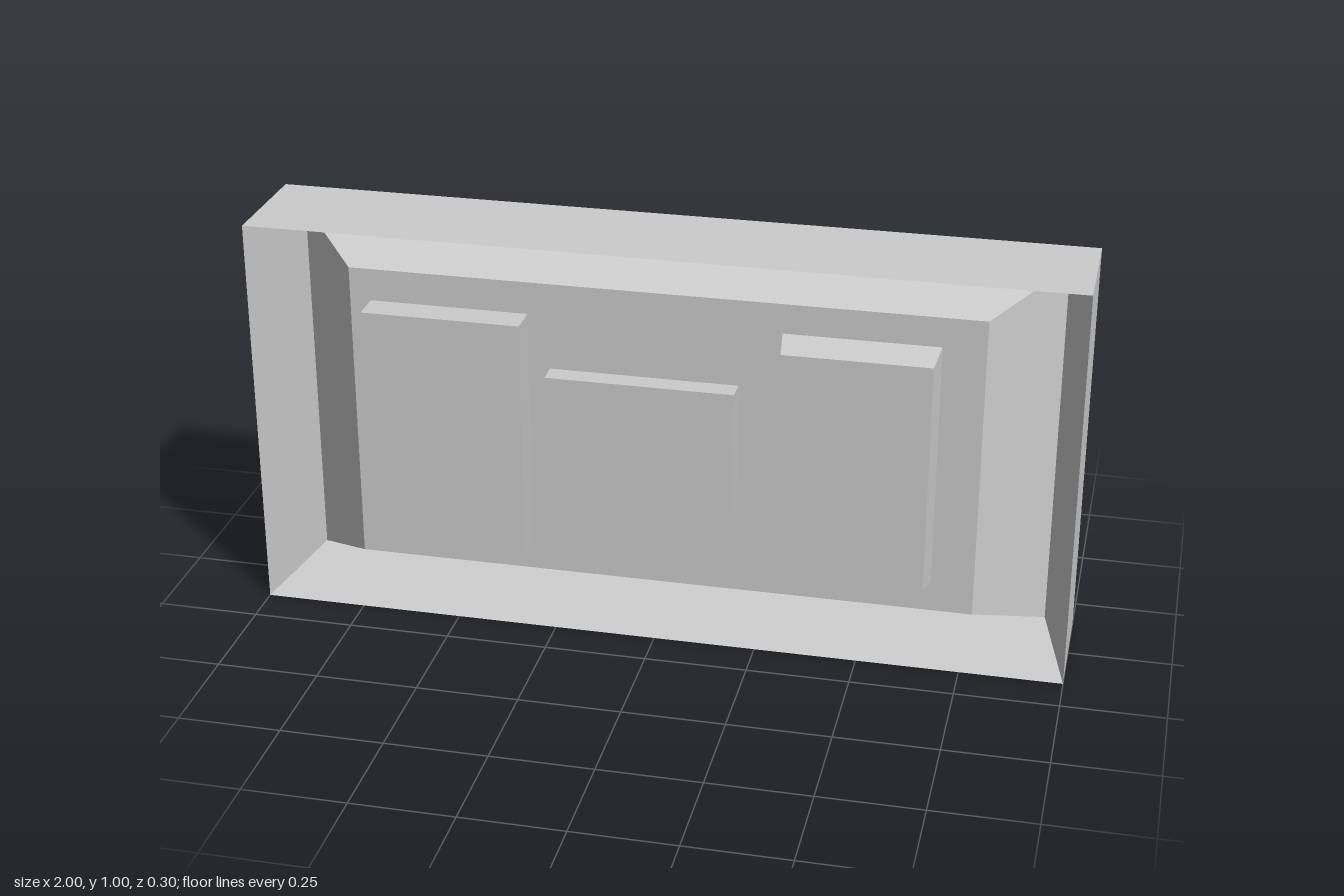
import * as THREE from 'three';

const material = new THREE.MeshStandardMaterial({ color: 0xcccccc, flatShading: true });
const FRONT = 0.148, PANEL = 0.07, GROOVE = -0.1;

// Skins a run of rectangles [x0, x1, y0, y1, z], each joined to the next, with both ends capped.
function rectLoft(name, rings) {
  const corners = rings.map(([x0, x1, y0, y1, z]) => [[x0, y0, z], [x1, y0, z], [x1, y1, z], [x0, y1, z]]);
  const pos = [];
  const quad = (a, b, c, d) => pos.push(...a, ...b, ...c, ...a, ...c, ...d);
  for (let r = 0; r < corners.length - 1; r++) {
    const p = corners[r], q = corners[r + 1];
    for (let i = 0; i < 4; i++) {
      const j = (i + 1) % 4;
      quad(p[i], p[j], q[j], q[i]);
    }
  }
  const [a, b, c, d] = corners[0];
  quad(d, c, b, a);
  quad(...corners[corners.length - 1]);
  const geometry = new THREE.BufferGeometry();
  geometry.setAttribute('position', new THREE.Float32BufferAttribute(pos, 3));
  geometry.computeVertexNormals();
  const mesh = new THREE.Mesh(geometry, material);
  mesh.name = name;
  return mesh;
}

export function createModel() {
  const group = new THREE.Group();
  group.name = 'wallPanel';

  // Outer block, sharp front rim, sloping down into a groove and up to the raised panel
  group.add(rectLoft('frame', [
    [-1, 1, 0, 1, -FRONT],
    [-1, 1, 0, 1, FRONT],
    [-0.933, 0.933, 0.037, 0.967, GROOVE],
    [-0.768, 0.768, 0.118, 0.884, PANEL],
  ]));

  // Raised blocks on the panel
  group.add(rectLoft('leftBlock', [
    [-0.716, -0.325, 0.2, 0.803, PANEL],
    [-0.716, -0.325, 0.2, 0.803, FRONT],
  ]));
  group.add(rectLoft('middleBlock', [
    [-0.272, 0.188, 0.338, 0.666, PANEL],
    [-0.272, 0.188, 0.338, 0.666, 0.125],
  ]));
  // Block with tapered sides
  group.add(rectLoft('taperedBlock', [
    [0.291, 0.665, 0.197, 0.81, PANEL],
    [0.3, 0.655, 0.213, 0.79, FRONT],
  ]));
  return group;
}
